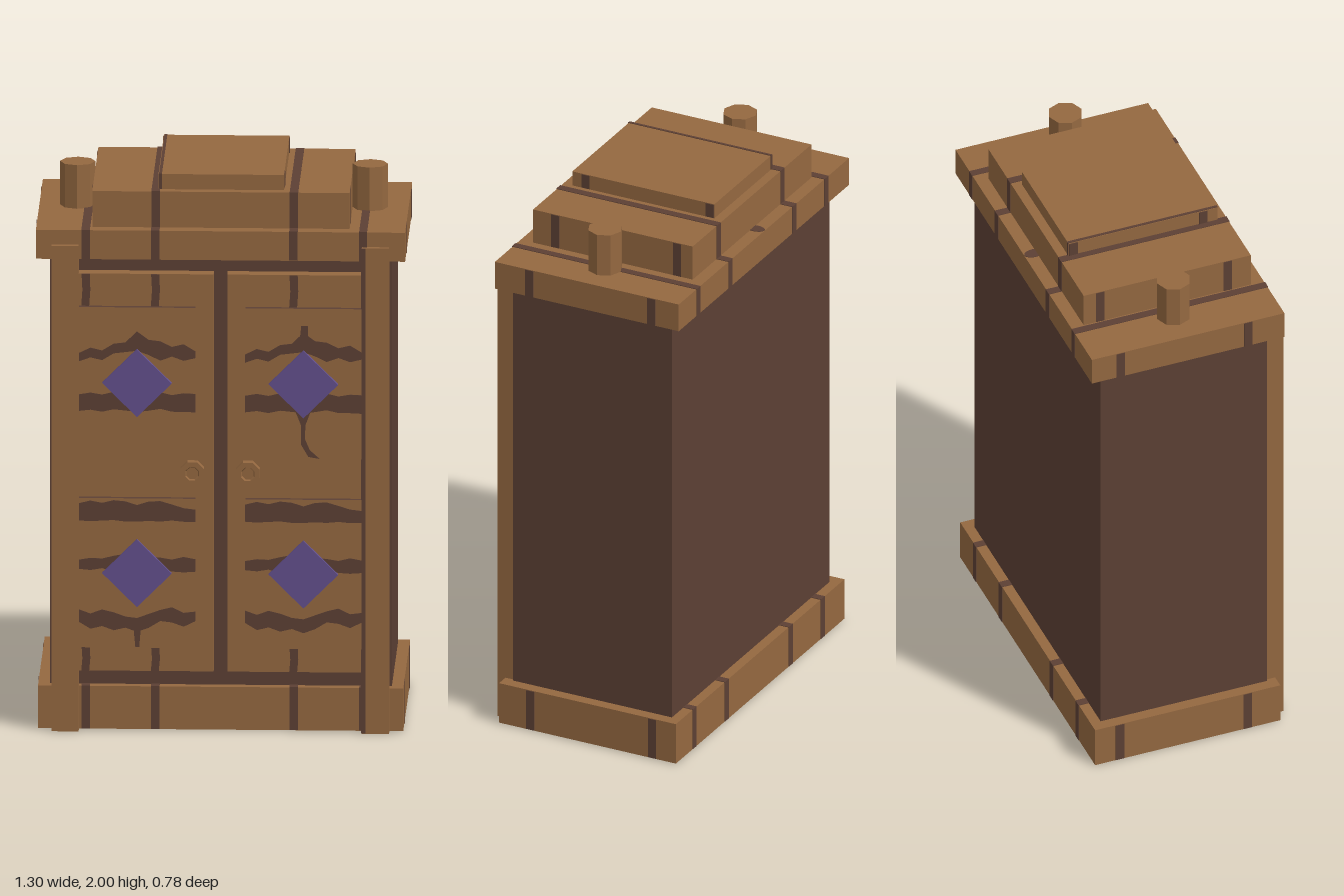
import * as THREE from 'three';

const material = (name, color) => {
  const m = new THREE.MeshStandardMaterial({ color });
  m.name = name;
  return m;
};

export function createModel() {
  const wood = material('oak wood', 0x946840);
  const dark = material('dark walnut', 0x5c4034);
  const purple = material('purple inlay', 0x624f8c);
  const model = new THREE.Group();
  model.name = 'cabinet';

  const add = (name, geometry, mat, x = 0, y = 0, z = 0) => {
    const mesh = new THREE.Mesh(geometry, mat);
    mesh.name = name;
    mesh.position.set(x, y, z);
    model.add(mesh);
    return mesh;
  };

  // Box given by its limits on each axis
  const block = (name, mat, [x0, x1], [y0, y1], [z0, z1]) =>
    add(name, new THREE.BoxGeometry(x1 - x0, y1 - y0, z1 - z0), mat,
      (x0 + x1) / 2, (y0 + y1) / 2, (z0 + z1) / 2);

  // Faceted version of a geometry
  const faceted = (geometry) => {
    const g = geometry.toNonIndexed();
    g.computeVertexNormals();
    return g;
  };

  // Thin painted shape on a front surface
  const paint = (name, points, z) => {
    const shape = new THREE.Shape(points.map(([x, y]) => new THREE.Vector2(x, y)));
    add(name, new THREE.ExtrudeGeometry(shape, { depth: 0.003, bevelEnabled: false }), dark, 0, 0, z - 0.001);
  };

  // Wooden tier with dark plank seams wrapping over it and down its ends
  const tier = (name, half, [y0, y1], [z0, z1], seams, endSeams = [0.2, -0.283]) => {
    block(name, wood, [-half, half], [y0, y1], [z0, z1]);
    for (const [x, w] of seams)
      block(name + 'Seam', dark, [x - w / 2, x + w / 2], [y0 + 0.001, y1 + 0.002], [z0 - 0.002, z1 + 0.002]);
    for (const z of endSeams)
      block(name + 'EndSeam', dark, [-half - 0.002, half + 0.002], [y0 + 0.001, y1 - 0.002], [z - 0.016, z + 0.016]);
  };

  // Carcass, plinth and stepped top
  block('body', dark, [-0.602, 0.602], [0, 1.73], [-0.34, 0.29]);
  const seams = [[-0.475, 0.03], [-0.23, 0.03], [0.257, 0.03], [0.502, 0.028]];
  tier('plinth', 0.643, [0.003, 0.158], [-0.377, 0.324], seams);
  tier('cornice', 0.65, [1.71, 1.815], [-0.392, 0.337], seams);
  tier('upperTier', 0.453, [1.815, 1.945], [-0.345, 0.288], seams.slice(1, 3));
  tier('topTier', 0.221, [1.945, 2], [-0.31, 0.253], [[-0.214, 0.01]], [0.2, -0.292]);

  // Grain knot at the back of the cornice
  const knot = add('corniceKnot', new THREE.CylinderGeometry(0.022, 0.022, 0.004, 16), dark, -0.005, 1.815, -0.355);
  knot.scale.z = 1.65;

  // Pilasters, with a dark seam along one inner edge
  for (const s of [-1, 1]) {
    const p = add('pilaster', new THREE.BoxGeometry(0.095, 1.762, 0.065), wood, s * 0.5465, 0.881, 0.3225);
    p.name = s > 0 ? 'leftPilaster' : 'rightPilaster';
  }
  block('pilasterSeam', dark, [0.496, 0.512], [0.001, 1.761], [0.29, 0.357]);

  // Doors, raised panels, diamonds, knobs and finials, mirrored
  const knobProfile = [[0, 0], [0.024, 0], [0.024, 0.012], [0.045, 0.018], [0.045, 0.05],
    [0.026, 0.05], [0.022, 0.042], [0, 0.042]].map(([r, h]) => new THREE.Vector2(r, h));
  const panelMaterials = [wood, wood, dark, wood, wood, wood];
  const panelRows = [[0.307, 0.849], [0.996, 1.542]];
  for (const s of [-1, 1]) {
    const side = s > 0 ? 'left' : 'right';
    add(side + 'Door', new THREE.BoxGeometry(0.476, 1.441, 0.06), wood, s * 0.262, 0.9385, 0.31);
    for (const [y0, y1] of panelRows)
      add(side + 'Panel', new THREE.BoxGeometry(0.41, y1 - y0, 0.03), panelMaterials, s * 0.293, (y0 + y1) / 2, 0.345);
    for (const y of [0.58, 1.27]) {
      const d = add(side + 'Diamond', new THREE.BoxGeometry(0.173, 0.173, 0.018), purple, s * 0.293, y, 0.366);
      d.rotation.z = Math.PI / 4;
    }
    const knob = add(side + 'Knob', faceted(new THREE.LatheGeometry(knobProfile, 8, Math.PI / 8)), wood, s * 0.098, 0.947, 0.34);
    knob.rotation.x = Math.PI / 2;
    add(side + 'Finial', faceted(new THREE.CylinderGeometry(0.062, 0.062, 0.16, 8)), wood, s * 0.515, 1.893, -0.03);
  }

  // Plank seams on the door rails
  for (const x of [-0.475, -0.23, 0.257])
    for (const [y0, y1] of [[0.218, 0.307], [1.542, 1.658]])
      paint('railSeam', [[x - 0.015, y0], [x + 0.013, y0], [x + 0.017, (y0 + y1) / 2], [x + 0.015, y1],
        [x - 0.014, y1], [x - 0.011, (y0 + y1) / 2]], 0.34);

  // Wavy grain across the panels: [upper edge, lower edge], sampled evenly over the width
  const bands = [
    [[1.375, 1.395, 1.385, 1.41, 1.415, 1.455, 1.425, 1.42, 1.4, 1.41, 1.385], [1.345, 1.36, 1.35, 1.375, 1.38, 1.385, 1.37, 1.35, 1.365, 1.35, 1.36]],
    [[1.225, 1.232, 1.225, 1.235, 1.228, 1.235, 1.228, 1.235, 1.225, 1.232, 1.23], [1.165, 1.17, 1.163, 1.172, 1.168, 1.163, 1.168, 1.175, 1.165, 1.165, 1.163]],
    [[0.83, 0.84, 0.832, 0.842, 0.838, 0.825, 0.838, 0.84, 0.828, 0.815, 0.81], [0.768, 0.765, 0.768, 0.77, 0.765, 0.765, 0.768, 0.766, 0.77, 0.766, 0.766]],
    [[0.625, 0.632, 0.63, 0.64, 0.648, 0.645, 0.638, 0.635, 0.628, 0.638, 0.63], [0.592, 0.588, 0.595, 0.582, 0.58, 0.58, 0.584, 0.592, 0.585, 0.582, 0.585]],
    [[0.445, 0.43, 0.445, 0.435, 0.42, 0.415, 0.43, 0.445, 0.455, 0.435, 0.44], [0.4, 0.375, 0.385, 0.37, 0.38, 0.365, 0.38, 0.405, 0.4, 0.385, 0.405]],
  ];
  for (const s of [-1, 1])
    for (const [top, bottom] of bands) {
      const at = (i) => s * 0.293 - 0.205 + 0.041 * i;
      const lower = bottom.map((y, i) => [at(i), y]);
      const upper = top.map((y, i) => [at(i), y]).reverse();
      paint('panelGrain', [...lower, ...upper], 0.36);
    }

  // Small grain wisps
  paint('grainWisp', [[0.265, 1.168], [0.284, 1.12], [0.284, 1.05], [0.31, 1.005], [0.35, 0.998],
    [0.315, 1.03], [0.298, 1.07], [0.3, 1.12], [0.318, 1.168]], 0.36);
  paint('grainWisp', [[0.28, 1.43], [0.31, 1.43], [0.308, 1.48], [0.285, 1.48]], 0.36);
  paint('grainWisp', [[-0.299, 0.31], [-0.285, 0.31], [-0.28, 0.375], [-0.305, 0.375]], 0.36);

  return model;
}
